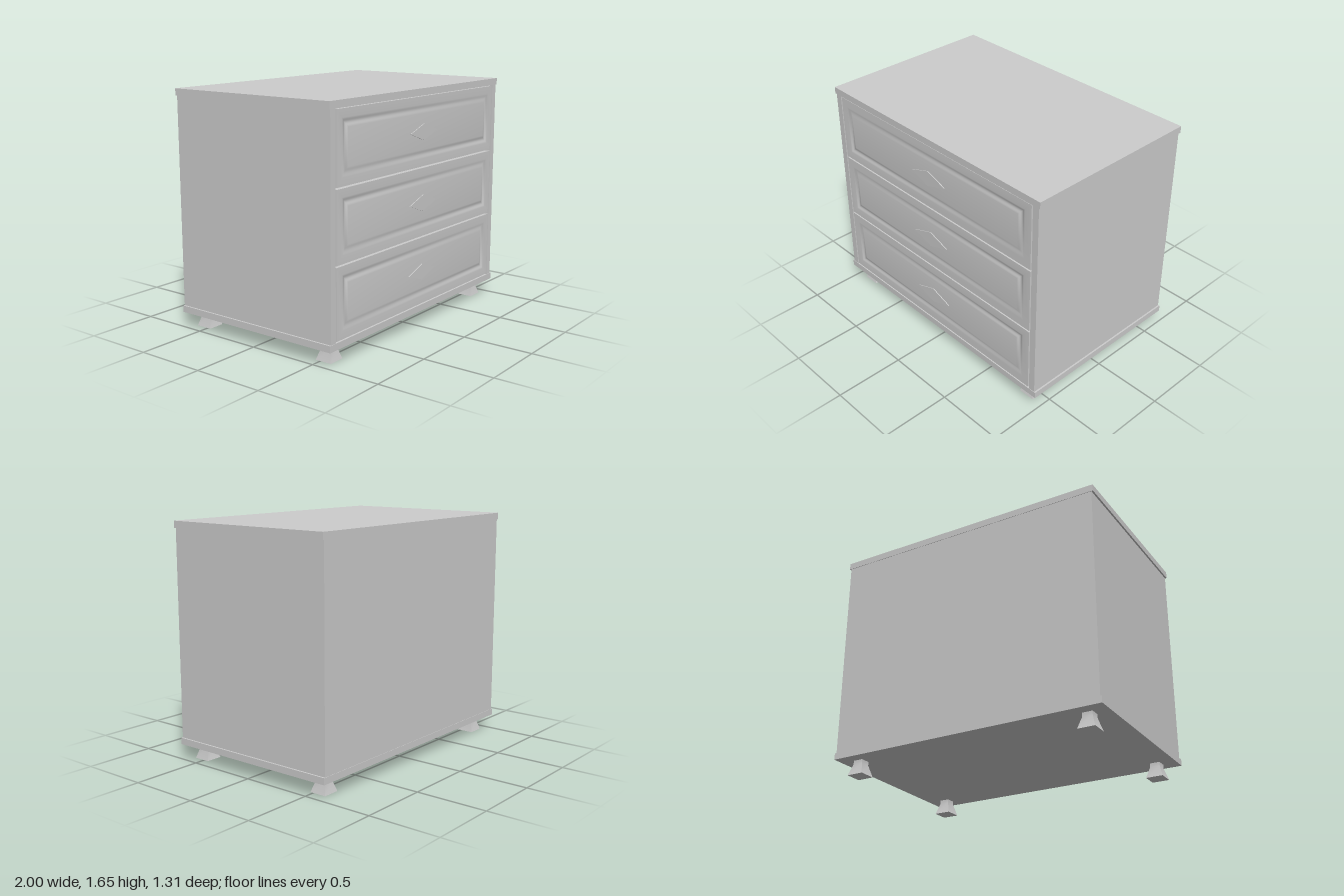
import * as THREE from 'three';
import { toCreasedNormals } from 'three/addons/utils/BufferGeometryUtils.js';

const material = new THREE.MeshStandardMaterial({ color: 0xcccccc });

function add(parent, name, geometry, x = 0, y = 0, z = 0) {
  const mesh = new THREE.Mesh(geometry, material);
  mesh.name = name;
  mesh.position.set(x, y, z);
  parent.add(mesh);
  return mesh;
}

// Box given by its min and max on each axis
function board(parent, name, [x0, x1], [y0, y1], [z0, z1]) {
  return add(parent, name, new THREE.BoxGeometry(x1 - x0, y1 - y0, z1 - z0),
    (x0 + x1) / 2, (y0 + y1) / 2, (z0 + z1) / 2);
}

// Skins a stack of rectangles [halfWidth, halfHeight, z] from back to front, capped at both ends
function rectLoft(rings) {
  const positions = [], index = [];
  for (const [w, h, z] of rings) positions.push(-w, -h, z, w, -h, z, w, h, z, -w, h, z);
  for (let r = 0; r < rings.length - 1; r++) {
    for (let i = 0; i < 4; i++) {
      const a = r * 4 + i, b = r * 4 + (i + 1) % 4;
      index.push(a, b, b + 4, a, b + 4, a + 4);
    }
  }
  const n = (rings.length - 1) * 4;
  index.push(0, 2, 1, 0, 3, 2, n, n + 1, n + 2, n, n + 2, n + 3);
  const geometry = new THREE.BufferGeometry();
  geometry.setAttribute('position', new THREE.Float32BufferAttribute(positions, 3));
  geometry.setIndex(index);
  return toCreasedNormals(geometry, 0.6);
}

// Drawer front with a soft routed groove framing the centre panel
function drawerFrontGeometry(w, h) {
  const rings = [[w, h, -0.04], [w, h, 0]];
  const start = 0.055, width = 0.06, depth = 0.008, steps = 10;
  for (let i = 0; i <= steps; i++) {
    const t = i / steps, inset = start + width * t;
    rings.push([w - inset, h - inset, -depth * (1 - Math.cos(t * Math.PI * 2)) / 2]);
  }
  return rectLoft(rings);
}

function diamondGeometry(w, h, thickness) {
  const shape = new THREE.Shape([
    new THREE.Vector2(-w, 0), new THREE.Vector2(0, -h),
    new THREE.Vector2(w, 0), new THREE.Vector2(0, h),
  ]);
  return new THREE.ExtrudeGeometry(shape, { depth: thickness, bevelEnabled: false });
}

export function createModel() {
  const model = new THREE.Group();
  model.name = 'chestOfDrawers';
  const front = 0.638, back = -0.652;

  // Carcass
  const carcass = new THREE.Group();
  carcass.name = 'carcass';
  model.add(carcass);
  board(carcass, 'topBoard', [-1, 1], [1.604, 1.652], [-0.655, 0.641]);
  board(carcass, 'bottomBoard', [-1, 1], [0.107, 0.153], [-0.655, 0.641]);
  board(carcass, 'leftSide', [0.94, 0.988], [0.153, 1.604], [back, front]);
  board(carcass, 'rightSide', [-0.988, -0.94], [0.153, 1.604], [back, front]);
  board(carcass, 'backPanel', [-0.94, 0.94], [0.153, 1.604], [back, back + 0.02]);

  // Flared square feet with a straight neck
  const footGeometry = rectLoft([
    [0.06, 0.06, 0], [0.035, 0.035, 0.08], [0.035, 0.035, 0.107],
  ]).rotateX(-Math.PI / 2);
  for (const x of [-0.863, 0.863]) {
    for (const z of [-0.537, 0.523]) add(model, 'foot', footGeometry, x, 0, z);
  }

  // Drawers, each with a front, a tray, runners and a handle
  const w = 0.93, h = 0.236;
  const frontGeometry = drawerFrontGeometry(w, h);
  const plateGeometry = diamondGeometry(0.163, 0.056, 0.006);
  const postGeometry = new THREE.CylinderGeometry(0.009, 0.009, 0.016, 16).rotateX(Math.PI / 2);
  for (let i = 0; i < 3; i++) {
    const drawer = new THREE.Group();
    drawer.name = 'drawer';
    drawer.position.y = 0.396 + 0.4835 * i;
    model.add(drawer);

    add(drawer, 'drawerFront', frontGeometry, 0, 0, front);
    board(drawer, 'trayBottom', [-0.9, 0.9], [-0.2, -0.185], [-0.6, front - 0.04]);
    board(drawer, 'trayBack', [-0.9, 0.9], [-0.185, 0.17], [-0.6, -0.57]);
    for (const s of [-1, 1]) {
      const side = board(drawer, 'traySide', [0.87, 0.9], [-0.185, 0.17], [-0.57, front - 0.04]);
      side.position.x *= s;
      const runner = board(drawer, 'runner', [0.9, 0.94], [-0.085, -0.05], [-0.6, front - 0.04]);
      runner.position.x *= s;
      add(drawer, 'handlePost', postGeometry, s * 0.07, 0, 0.644);
    }
    add(drawer, 'handlePlate', plateGeometry, 0, 0, 0.649);
  }
  return model;
}
